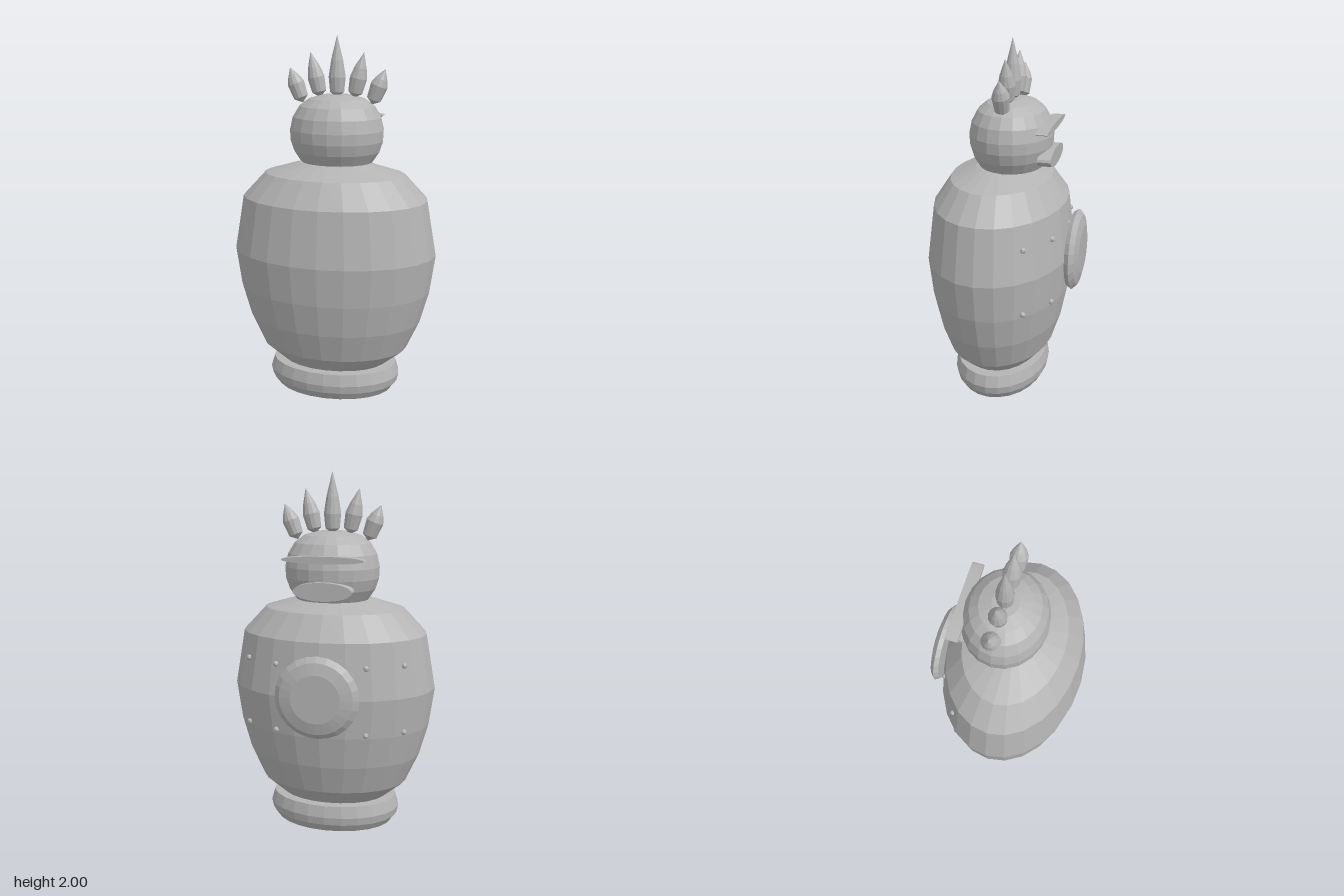
import * as THREE from 'three';

const stone = new THREE.MeshStandardMaterial({ color: 0xb4b4b4, flatShading: true });
stone.name = 'stone grey';

export function createModel() {
  const group = new THREE.Group();
  group.name = 'crestedFigure';

  const add = (name, geometry, x = 0, y = 0, z = 0) => {
    const mesh = new THREE.Mesh(geometry, stone);
    mesh.name = name;
    mesh.position.set(x, y, z);
    group.add(mesh);
    return mesh;
  };
  // profile is a list of [radius, height], from bottom to top
  const lathe = (profile, sides) =>
    new THREE.LatheGeometry(profile.map(([r, h]) => new THREE.Vector2(r, h)), sides);

  // Oval foot ring and barrel body share one centre and one depth ratio
  const midZ = 0.03, depth = 0.7;
  add('base', lathe([[0, 0], [0.335, 0], [0.37, 0.045], [0.38, 0.09], [0.36, 0.155], [0, 0.165]], 24)
    .scale(1, 1, 0.71), 0, 0, midZ);
  add('body', lathe([[0, 0.155], [0.305, 0.16], [0.42, 0.255], [0.495, 0.42], [0.545, 0.6], [0.575, 0.815],
    [0.522, 1.12], [0.395, 1.255], [0.2, 1.312], [0, 1.312]], 24).scale(1, 1, depth), 0, 0, midZ);

  // Head, cut flat where it meets the shoulders
  add('head', lathe([[0, 1.305], [0.2, 1.31], [0.24, 1.37], [0.26, 1.43], [0.263, 1.49], [0.247, 1.56],
    [0.21, 1.62], [0.155, 1.66], [0.08, 1.68], [0, 1.683]], 20).scale(1, 1, 0.87), 0, 0, -0.022);

  // Crest of five spikes: [base x, base y, tip x, tip y]
  const spikes = [[0, 1.665, 0, 2], [0.095, 1.665, 0.15, 1.91], [0.195, 1.632, 0.268, 1.823]];
  const addSpike = (x0, y0, x1, y1) => {
    const length = Math.hypot(x1 - x0, y1 - y0);
    const spike = add('crestSpike', lathe([[0, 0], [0.04, 0.03], [0.048, 0.11],
      [0.034, 0.11 + (length - 0.11) * 0.4], [0, length]], 12), x0, y0, -0.025);
    spike.rotation.z = -Math.atan2(x1 - x0, y1 - y0);
  };
  spikes.forEach(([x0, y0, x1, y1]) => {
    addSpike(x0, y0, x1, y1);
    if (x0 > 0) addSpike(-x0, y0, -x1, y1);
  });

  // Flat oval brow and mouth on the -z side of the head
  const oval = (rx, ry, thick) =>
    new THREE.CylinderGeometry(1, 1, thick, 24).rotateX(Math.PI / 2).scale(rx, ry, 1);
  add('brow', oval(0.224, 0.02, 0.064), 0, 1.546, -0.237);
  add('mouth', oval(0.16, 0.05, 0.075), 0, 1.38, -0.237);

  // Domed medallion standing against the body
  add('medallion', lathe([[0, 0.37], [0.215, 0.37], [0.23, 0.395], [0.2, 0.42], [0.135, 0.435], [0, 0.435]], 24)
    .rotateX(-Math.PI / 2).scale(1, 0.98, 1), 0, 0.838, 0);

  // Two rows of rivets around the medallion side
  for (const [y, r] of [[0.62, 0.548], [0.99, 0.543]]) {
    for (const degrees of [-53, -27, 0, 27, 53]) {
      const a = THREE.MathUtils.degToRad(degrees);
      add('rivet', new THREE.SphereGeometry(0.016, 8, 6),
        r * Math.sin(a), y, midZ - r * depth * Math.cos(a));
    }
  }
  return group;
}
